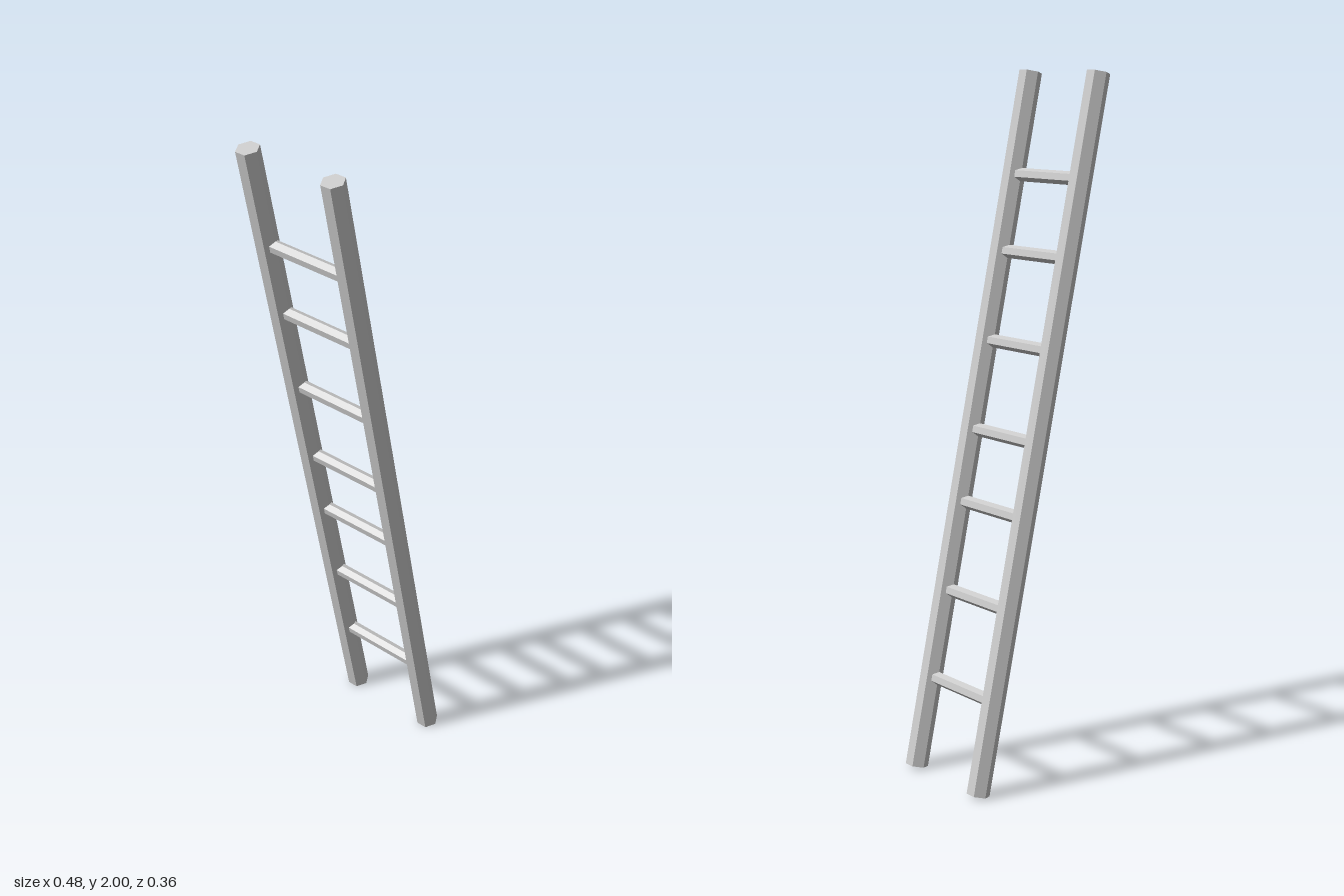
import * as THREE from 'three';

const LEAN = 0.21;        // tilt of the ladder towards -x
const RAIL_LENGTH = 2.033;
const RAIL_RADIUS = 0.033;
const RAIL_Z = 0.146;
const RUNG_RADIUS = 0.019;
// distances of the rungs along the rails, measured from the middle
const RUNGS = [-0.75, -0.49, -0.229, -0.017, 0.242, 0.501, 0.722];

export function createModel() {
  const model = new THREE.Group();
  model.name = 'ladder';
  const material = new THREE.MeshStandardMaterial({ color: 0xcccccc, flatShading: true });

  const add = (name, geometry, y, z) => {
    const mesh = new THREE.Mesh(geometry, material);
    mesh.name = name;
    mesh.position.set(0, y, z);
    leaning.add(mesh);
  };

  // Everything is built upright, then leaned as one
  const leaning = new THREE.Group();
  leaning.name = 'leaningFrame';
  leaning.position.y = 1;
  leaning.rotation.z = LEAN;
  model.add(leaning);

  // Six-sided side rails
  const rail = new THREE.CylinderGeometry(RAIL_RADIUS, RAIL_RADIUS, RAIL_LENGTH, 6);
  add('frontRail', rail, 0, RAIL_Z);
  add('backRail', rail, 0, -RAIL_Z);

  // Six-sided rungs, with their ends sunk into the rails
  const rung = new THREE.CylinderGeometry(RUNG_RADIUS, RUNG_RADIUS, RAIL_Z * 2, 6);
  rung.rotateX(-Math.PI / 2);
  RUNGS.forEach((y, i) => add(`rung${i + 1}`, rung, y, 0));

  return model;
}
